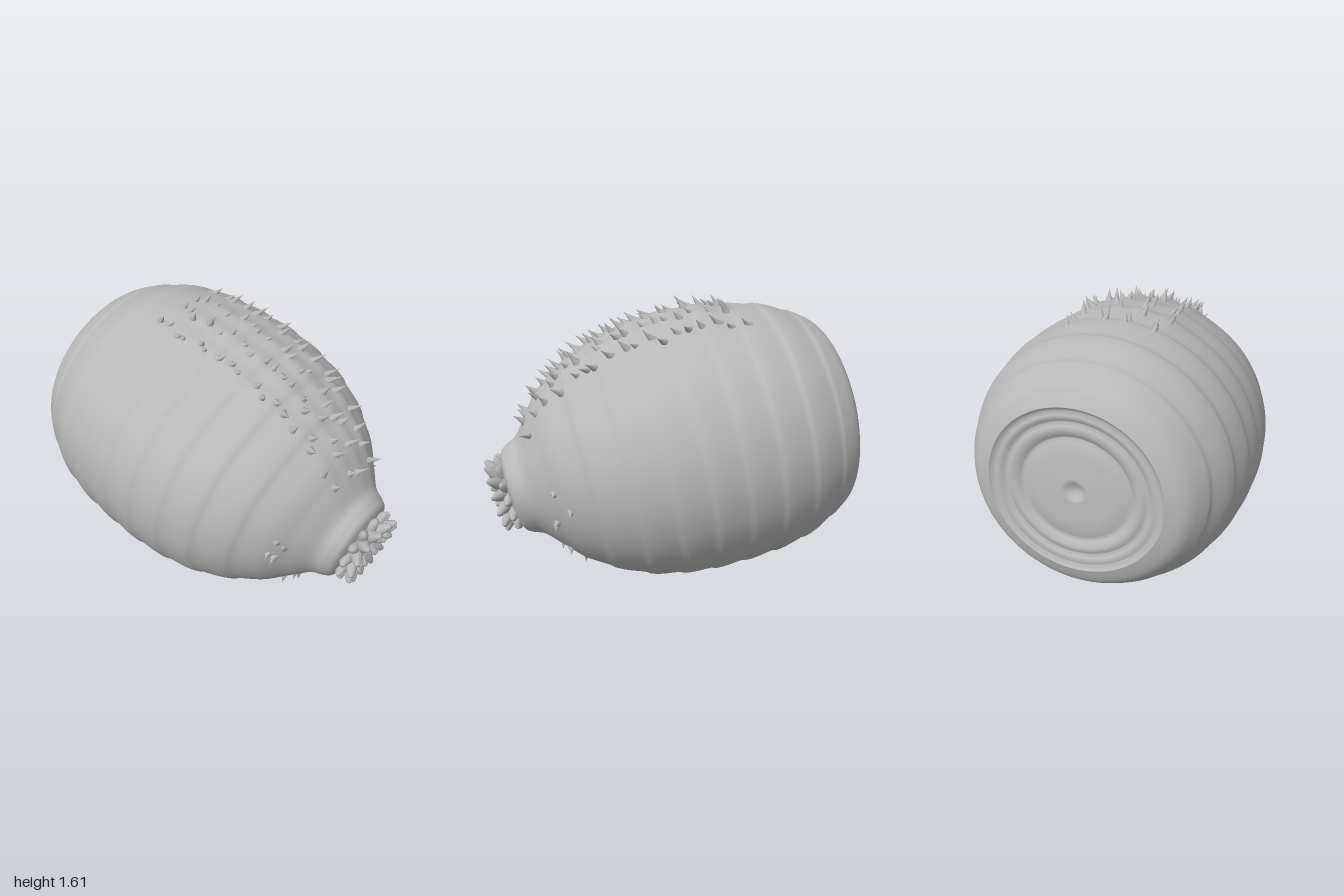
import * as THREE from 'three';
import { mergeVertices, mergeGeometries } from 'three/addons/utils/BufferGeometryUtils.js';

const V2 = (x, y) => new THREE.Vector2(x, y);
const smooth = THREE.MathUtils.smoothstep;

// Body radius along the long axis: [distance from rear, radius]
const PROFILE = [
  [0, 0.46], [0.05, 0.555], [0.13, 0.615], [0.3, 0.695], [0.5, 0.74], [0.75, 0.755], [1.0, 0.745],
  [1.25, 0.695], [1.45, 0.61], [1.62, 0.5], [1.74, 0.38], [1.82, 0.295], [1.88, 0.265],
  [1.92, 0.235], [1.94, 0.17],
];
const curve = new THREE.SplineCurve(PROFILE.map(([t, r]) => V2(t, r)));
const samples = curve.getPoints(220);

function radiusAt(t) {
  for (let i = 1; i < samples.length; i++) {
    const a = samples[i - 1], b = samples[i];
    if (t <= b.x) return a.y + (b.y - a.y) * Math.max(0, (t - a.x) / Math.max(1e-6, b.x - a.x));
  }
  return 0.17;
}

// Overlapping body segments: each swells gently, then drops at its seam
function segmentSwell(t) {
  const fade = smooth(t, 0.06, 0.2) * (1 - smooth(t, 1.6, 1.75));
  const u = (t / 0.19) % 1;
  return fade * 0.008 * (smooth(u, 0, 0.75) * (1 - smooth(u, 0.85, 1)) - 0.5);
}

// Four ridges on a raised band that runs along the back to the mouth
const ROWS = [-0.26, -0.09, 0.06, 0.21];
const rowOffset = (row, t) => row * (1 - 0.35 * smooth(t, 1.1, 1.8));
function ridgeLift(t, side) {
  const fade = smooth(t, 0.5, 0.75) * (1 - smooth(t, 1.68, 1.84));
  const band = 0.012 * Math.exp(-((side / 0.28) ** 4));
  return fade * ROWS.reduce((h, row) => h + 0.014 * Math.exp(-(((side - rowOffset(row, t)) / 0.045) ** 2)), band);
}

// Slightly widen the belly and arch the long axis so that the ends droop
function arch(geometry) {
  const p = geometry.attributes.position;
  for (let i = 0; i < p.count; i++) {
    const x = p.getX(i), t = p.getY(i), z = p.getZ(i), d = t - 0.8;
    p.setXYZ(i, x * (1 + 0.04 * (1 - smooth(t, 1.4, 1.8))), t + 0.056 * d * z, z - 0.028 * d * d);
  }
  return geometry;
}

function bodyGeometry() {
  // Concentric rings of the rear plate, then the body, then the sunken mouth
  const rear = [
    [0, 0.035], [0.03, 0.035], [0.05, 0.015], [0.07, 0.012], [0.2, 0.02], [0.27, 0.025], [0.285, 0.045],
    [0.3, 0.03], [0.33, 0.012], [0.36, 0.015], [0.375, 0.035], [0.39, 0.015], [0.42, 0.004], [0.435, 0.028],
  ].map(([r, t]) => V2(r, t));
  const side = samples.map((p) => V2(p.y + segmentSwell(p.x), p.x));
  const mouth = [V2(0.15, 1.96), V2(0.12, 1.97), V2(0.08, 1.93), V2(0, 1.9)];
  let g = new THREE.LatheGeometry([...rear, ...side, ...mouth], 128, Math.PI);
  const p = g.attributes.position;
  for (let i = 0; i < p.count; i++) {
    const x = p.getX(i), t = p.getY(i), z = p.getZ(i), r = Math.hypot(x, z);
    if (t < 0.3 || t > 1.85 || r < 0.2) continue;
    const k = 1 + ridgeLift(t, Math.atan2(x, z) * r) / r;
    p.setXYZ(i, x * k, t, z * k);
  }
  g.deleteAttribute('uv');
  g.deleteAttribute('normal');
  g = arch(mergeVertices(g, 1e-4));
  g.computeVertexNormals();
  return g;
}

// Place a shape that points along +y at a spot, aimed in a direction
function aimed(geometry, position, direction) {
  const q = new THREE.Quaternion().setFromUnitVectors(new THREE.Vector3(0, 1, 0), direction.normalize());
  return geometry.applyMatrix4(new THREE.Matrix4().compose(position, q, new THREE.Vector3(1, 1, 1)));
}

// Direction outwards from the long axis (phi = 0 is the back), leaning along it
const outward = (phi, lean = 0) => new THREE.Vector3(Math.sin(phi), lean, Math.cos(phi));

function seeded(seed) {
  return () => (seed = (seed * 16807) % 2147483647) / 2147483647;
}

function bristle(t, phi, length, lean, twist) {
  const r = radiusAt(t);
  const foot = outward(phi).multiplyScalar(r + ridgeLift(t, phi * r) - 0.02);
  foot.y = t;
  const shape = [V2(0.028, 0), V2(0.015, length * 0.35), V2(0.006, length * 0.7), V2(0, length)];
  return aimed(new THREE.LatheGeometry(shape, 6), foot, outward(phi + twist, lean));
}

function bristleGeometry() {
  const rnd = seeded(71);
  const list = [];
  // Rows along the back
  for (const row of ROWS) {
    for (let t = 0.52; t < 1.76; t += 0.07) {
      const at = t + (rnd() - 0.5) * 0.06;
      const side = rowOffset(row, at) + (rnd() - 0.5) * 0.06;
      list.push(bristle(at, side / radiusAt(at), 0.06 + 0.05 * rnd(), 0.4 + 0.6 * rnd(), (rnd() - 0.5) * 0.8 + row));
    }
  }
  // Small clusters at the sides of and below the mouth
  for (const centre of [-1.6, 1.6, 2.7, -2.7]) {
    for (let i = 0; i < 4; i++) {
      const t = 1.63 + 0.11 * rnd();
      list.push(bristle(t, centre + (rnd() - 0.5) * 0.6, 0.05 + 0.03 * rnd(), 0.3, rnd() - 0.5));
    }
  }
  return arch(mergeGeometries(list));
}

// Blunt mouth lobes in rings: [count, foot radius, distance, length, width, lean, turn]
const LOBES = [
  [13, 0.14, 1.94, 0.09, 0.036, 0.2, 0],
  [13, 0.135, 1.975, 0.09, 0.034, 0.65, 0.5],
  [8, 0.095, 1.96, 0.075, 0.034, 2.4, 0],
];
function lobeGeometry() {
  const list = [];
  for (const [n, r, t, len, w, lean, turn] of LOBES) {
    for (let i = 0; i < n; i++) {
      const phi = ((i + turn) / n) * Math.PI * 2;
      const foot = outward(phi).multiplyScalar(r);
      foot.y = t;
      const shape = [V2(w * 1.2, -0.03), V2(w, 0.02), V2(w * 0.7, len * 0.6), V2(w * 0.4, len * 0.93), V2(0, len)];
      list.push(aimed(new THREE.LatheGeometry(shape, 10), foot, outward(phi, lean)));
    }
  }
  return arch(mergeGeometries(list));
}

export function createModel() {
  const skin = new THREE.MeshStandardMaterial({ color: 0xb8b8b8 });
  skin.name = 'greySkin';

  const creature = new THREE.Group();
  creature.name = 'barrelGrub';
  const add = (name, geometry) => {
    const mesh = new THREE.Mesh(geometry, skin);
    mesh.name = name;
    creature.add(mesh);
  };
  add('segmentedBody', bodyGeometry());
  add('backBristles', bristleGeometry());
  add('mouthLobes', lobeGeometry());

  // Long axis runs diagonally, dipping towards the mouth
  const axis = new THREE.Vector3(0.65, -0.165, 0.76).normalize();
  const up = new THREE.Vector3(0, 1, 0).addScaledVector(axis, -axis.y).normalize();
  const across = new THREE.Vector3().crossVectors(axis, up);
  creature.quaternion.setFromRotationMatrix(new THREE.Matrix4().makeBasis(across, axis, up));
  creature.position.set(-0.535, 0.885, -0.66);

  const model = new THREE.Group();
  model.name = 'model';
  model.add(creature);
  return model;
}
